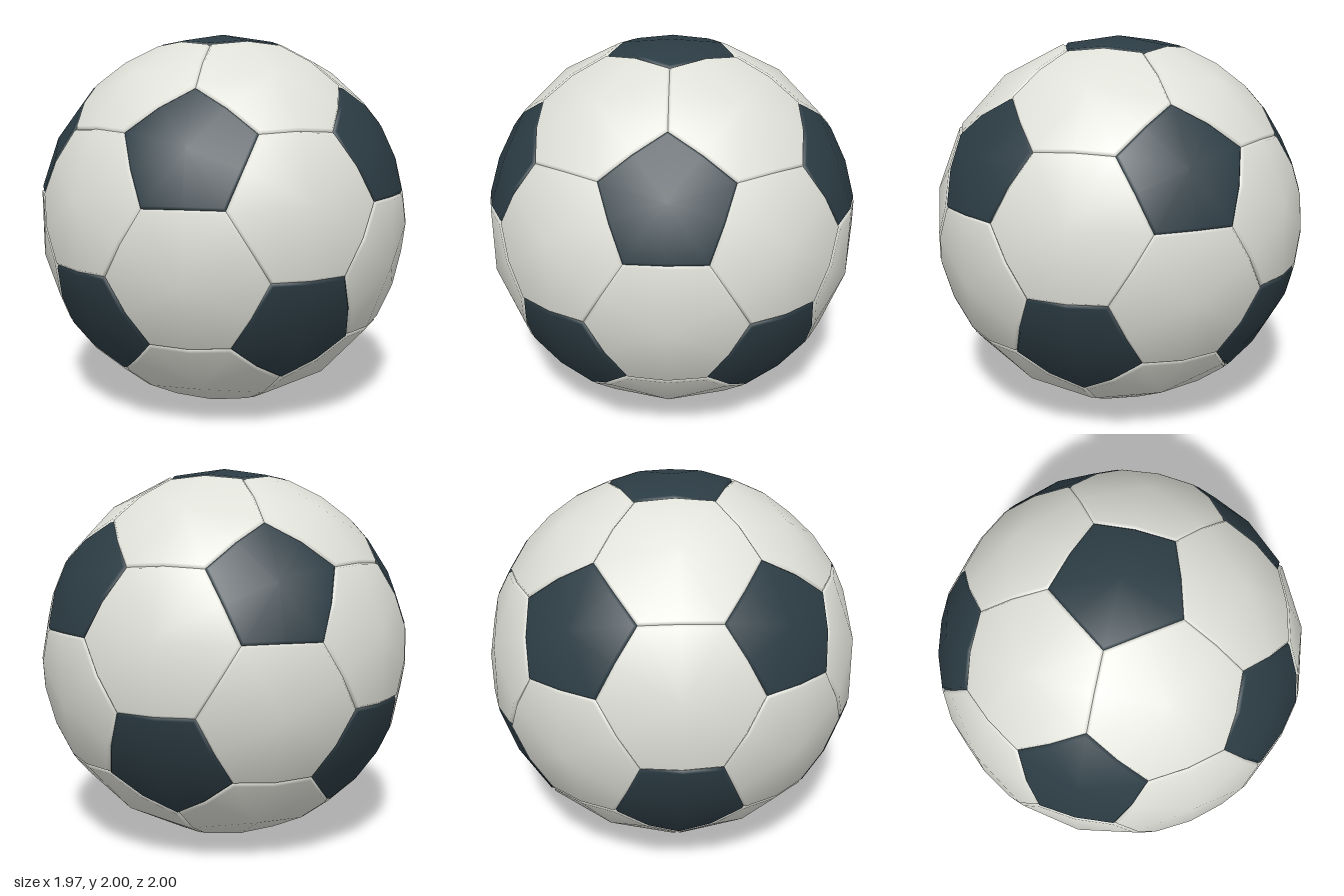
import * as THREE from 'three';

const SEAM_WIDTH = 0.014; // bevel width on each side of a seam
const SEAM_DEPTH = 0.012; // how far the seams sink below the unit sphere

// Unit directions of the twelve pentagon centres: two poles and two staggered rings
function pentagonCentres() {
  const list = [new THREE.Vector3(0, 1, 0), new THREE.Vector3(0, -1, 0)];
  const h = 1 / Math.sqrt(5), r = 2 / Math.sqrt(5);
  for (let i = 0; i < 5; i++) {
    const a = (i * Math.PI * 2) / 5, b = a + Math.PI / 5;
    list.push(new THREE.Vector3(r * Math.cos(a), h, r * Math.sin(a)));
    list.push(new THREE.Vector3(r * Math.cos(b), -h, r * Math.sin(b)));
  }
  return list;
}

const adjacent = (a, b) => a !== b && a.distanceTo(b) < 1.1;

// Corners nearest to a centre, counter-clockwise from outside, with edge midpoints
function outline(centre, corners, sides) {
  const near = [...corners]
    .sort((a, b) => a.distanceToSquared(centre) - b.distanceToSquared(centre))
    .slice(0, sides);
  const u = near[0].clone().projectOnPlane(centre).normalize();
  const v = centre.clone().cross(u);
  const angle = (p) => Math.atan2(p.dot(v), p.dot(u));
  near.sort((a, b) => angle(a) - angle(b));
  return near.flatMap((p, i) => [p, p.clone().add(near[(i + 1) % sides]).normalize()]);
}

// A domed panel: centre fan plus a bevelled rim that dips into the seam
function panelGeometry(centre, rim) {
  const n = rim.length;
  const apothem = rim[1].distanceTo(centre);
  const position = [...centre.toArray()], normal = [...centre.toArray()], index = [];
  for (const p of rim) {
    const inner = p.clone().lerp(centre, SEAM_WIDTH / apothem).normalize();
    position.push(...inner.toArray());
    normal.push(...inner.toArray());
  }
  for (const p of rim) {
    const outward = p.clone().sub(centre).projectOnPlane(p).normalize();
    position.push(...p.clone().multiplyScalar(1 - SEAM_DEPTH).toArray());
    normal.push(...p.clone().add(outward).normalize().toArray());
  }
  for (let i = 0; i < n; i++) {
    const a = 1 + i, b = 1 + ((i + 1) % n);
    index.push(0, a, b, a, a + n, b + n, a, b + n, b);
  }
  const geometry = new THREE.BufferGeometry();
  geometry.setAttribute('position', new THREE.Float32BufferAttribute(position, 3));
  geometry.setAttribute('normal', new THREE.Float32BufferAttribute(normal, 3));
  geometry.setIndex(index);
  return geometry;
}

export function createModel() {
  const white = new THREE.MeshStandardMaterial({ color: 0xdfe0d8 });
  white.name = 'off white';
  const dark = new THREE.MeshStandardMaterial({ color: 0x2c3c44 });
  dark.name = 'dark slate';

  const ball = new THREE.Group();
  ball.name = 'ball';
  const pentagons = pentagonCentres();

  // Panel corners lie a third of the way along each line between neighbours
  const corners = [];
  for (const a of pentagons)
    for (const b of pentagons)
      if (adjacent(a, b)) corners.push(a.clone().multiplyScalar(2).add(b).normalize());

  // Hexagon centres lie between every three mutual neighbours
  const hexagons = [];
  pentagons.forEach((a, i) => pentagons.forEach((b, j) => pentagons.forEach((c, k) => {
    if (i < j && j < k && adjacent(a, b) && adjacent(b, c) && adjacent(a, c))
      hexagons.push(a.clone().add(b).add(c).normalize());
  })));

  const addPanels = (centres, sides, material, name) => centres.forEach((centre, i) => {
    const mesh = new THREE.Mesh(panelGeometry(centre, outline(centre, corners, sides)), material);
    mesh.name = name + (i + 1);
    mesh.position.y = 1;
    ball.add(mesh);
  });
  addPanels(pentagons, 5, dark, 'pentagonPanel');
  addPanels(hexagons, 6, white, 'hexagonPanel');
  return ball;
}
